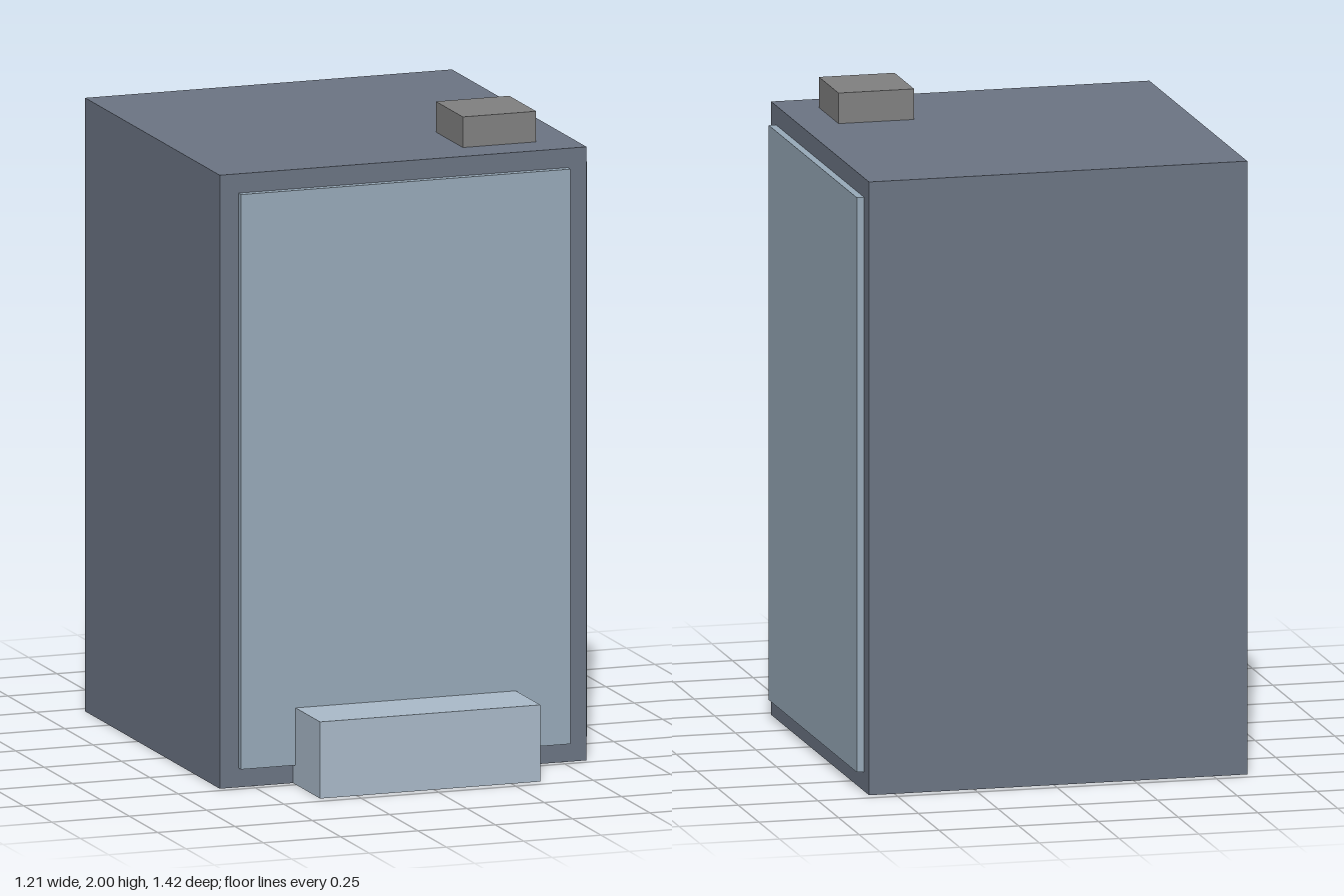
import * as THREE from 'three';

const material = (color) => new THREE.MeshStandardMaterial({ color });

// Box given by its [min, max] extent along each axis
function block(name, mat, [x0, x1], [y0, y1], [z0, z1]) {
  const mesh = new THREE.Mesh(new THREE.BoxGeometry(x1 - x0, y1 - y0, z1 - z0), mat);
  mesh.name = name;
  mesh.position.set((x0 + x1) / 2, (y0 + y1) / 2, (z0 + z1) / 2);
  return mesh;
}

export function createModel() {
  const group = new THREE.Group();
  group.name = 'towerBlock';

  const wall = material(0x6b7483);
  const glass = material(0x97a9b8);
  const pale = material(0xa9b9c8);
  const grey = material(0x808080);

  // Main block, with its back and right side left plain
  const x = [-0.606, 0.58], y = [0, 1.905], z = [-0.712, 0.474];
  const inset = 0.06, proud = 0.023;
  const shrink = ([a, b]) => [a + inset, b - inset];
  group.add(block('body', wall, x, y, z));

  // Raised panels on the front and the left side
  group.add(block('frontPanel', glass, shrink(x), shrink(y), [z[1] - proud, z[1] + proud]));
  group.add(block('sidePanel', glass, [x[1] - proud, x[1] + proud], shrink(y), shrink(z)));

  // Low entrance block at the foot of the front
  group.add(block('entrance', pale, [-0.369, 0.343], [0, 0.238], [z[1], 0.712]));

  // Small unit on the roof
  group.add(block('roofUnit', grey, [0.224, 0.461], [y[1], 2], [0.117, 0.354]));

  return group;
}
